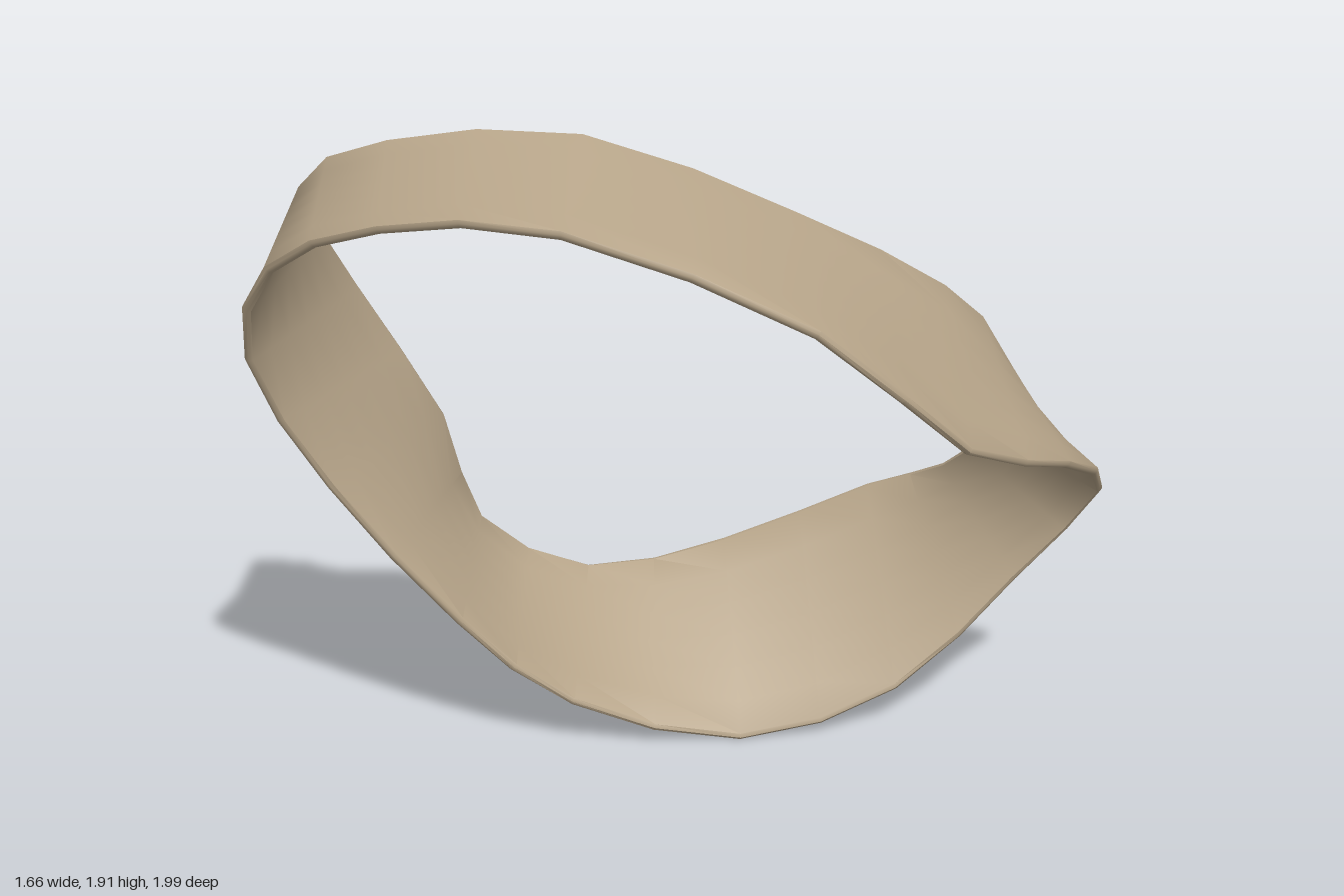
import * as THREE from 'three';
import { toCreasedNormals } from 'three/addons/utils/BufferGeometryUtils.js';

const STATIONS = 28; // cross-sections around the loop
const WIDTH_STEPS = 6; // subdivisions across the band
const HALF_THICKNESS = 0.013;

const closedCurve = (points) =>
  new THREE.CatmullRomCurve3(points.map((p) => new THREE.Vector3(...p)), true, 'catmullrom', 0.5);

// The two rims of the twisted band, paired station by station
const upperRim = closedCurve([
  [0, 1.9, 0.36], [-0.36, 1.87, 0.68], [-0.67, 1.7, 0.74], [-0.82, 1.34, 0.5],
  [-0.77, 0.92, 0.27], [-0.82, 0.54, 0.12], [-0.62, 0.37, -0.13], [-0.4, 0.43, -0.48],
  [-0.13, 0.6, -0.81], [0.1, 0.72, -0.89], [0.3, 0.92, -0.85], [0.43, 1.21, -0.71],
  [0.45, 1.45, -0.46], [0.31, 1.69, -0.06],
]);
const lowerRim = closedCurve([
  [0.25, 1.76, 0.63], [-0.15, 1.73, 0.87], [-0.46, 1.58, 0.99], [-0.66, 1.28, 0.95],
  [-0.64, 0.87, 0.74], [-0.46, 0.44, 0.46], [-0.29, 0.16, 0.2], [-0.02, 0.01, -0.2],
  [0.23, 0.14, -0.58], [0.39, 0.45, -0.89], [0.6, 0.77, -0.99], [0.79, 1.01, -0.6],
  [0.82, 1.17, -0.18], [0.68, 1.53, 0.21],
]);

// Section outline: along one face, round the bevelled rim, back along the other
function sectionOutline() {
  const outline = [];
  for (let i = 0; i <= WIDTH_STEPS; i++) outline.push([0.015 + (0.97 * i) / WIDTH_STEPS, -1]);
  outline.push([1, -0.4], [1, 0.4]);
  for (let i = WIDTH_STEPS; i >= 0; i--) outline.push([0.015 + (0.97 * i) / WIDTH_STEPS, 1]);
  outline.push([0, 0.4], [0, -0.4]);
  return outline;
}

function bandGeometry() {
  const outline = sectionOutline();
  const count = outline.length;
  const positions = [];
  const indices = [];
  for (let s = 0; s < STATIONS; s++) {
    const t = s / STATIONS;
    const a = upperRim.getPoint(t);
    const b = lowerRim.getPoint(t);
    const across = b.clone().sub(a);
    const tangentA = upperRim.getTangent(t);
    const tangentB = lowerRim.getTangent(t);
    for (const [u, v] of outline) {
      const normal = tangentA.clone().lerp(tangentB, u).cross(across).normalize();
      const p = a.clone().addScaledVector(across, u).addScaledVector(normal, v * HALF_THICKNESS);
      positions.push(p.x, Math.max(p.y, 0), p.z);
    }
    const next = (s + 1) % STATIONS;
    for (let j = 0; j < count; j++) {
      const k = (j + 1) % count;
      const [p, q, r, w] = [s * count + j, s * count + k, next * count + k, next * count + j];
      indices.push(p, q, r, p, r, w);
    }
  }
  const geometry = new THREE.BufferGeometry();
  geometry.setAttribute('position', new THREE.Float32BufferAttribute(positions, 3));
  geometry.setIndex(indices);
  return toCreasedNormals(geometry, 0.8);
}

export function createModel() {
  const group = new THREE.Group();
  group.name = 'twistedRing';
  const tan = new THREE.MeshStandardMaterial({ color: 0xb5a388 });
  tan.name = 'tan';
  const band = new THREE.Mesh(bandGeometry(), tan);
  band.name = 'twistedBand';
  group.add(band);
  return group;
}
